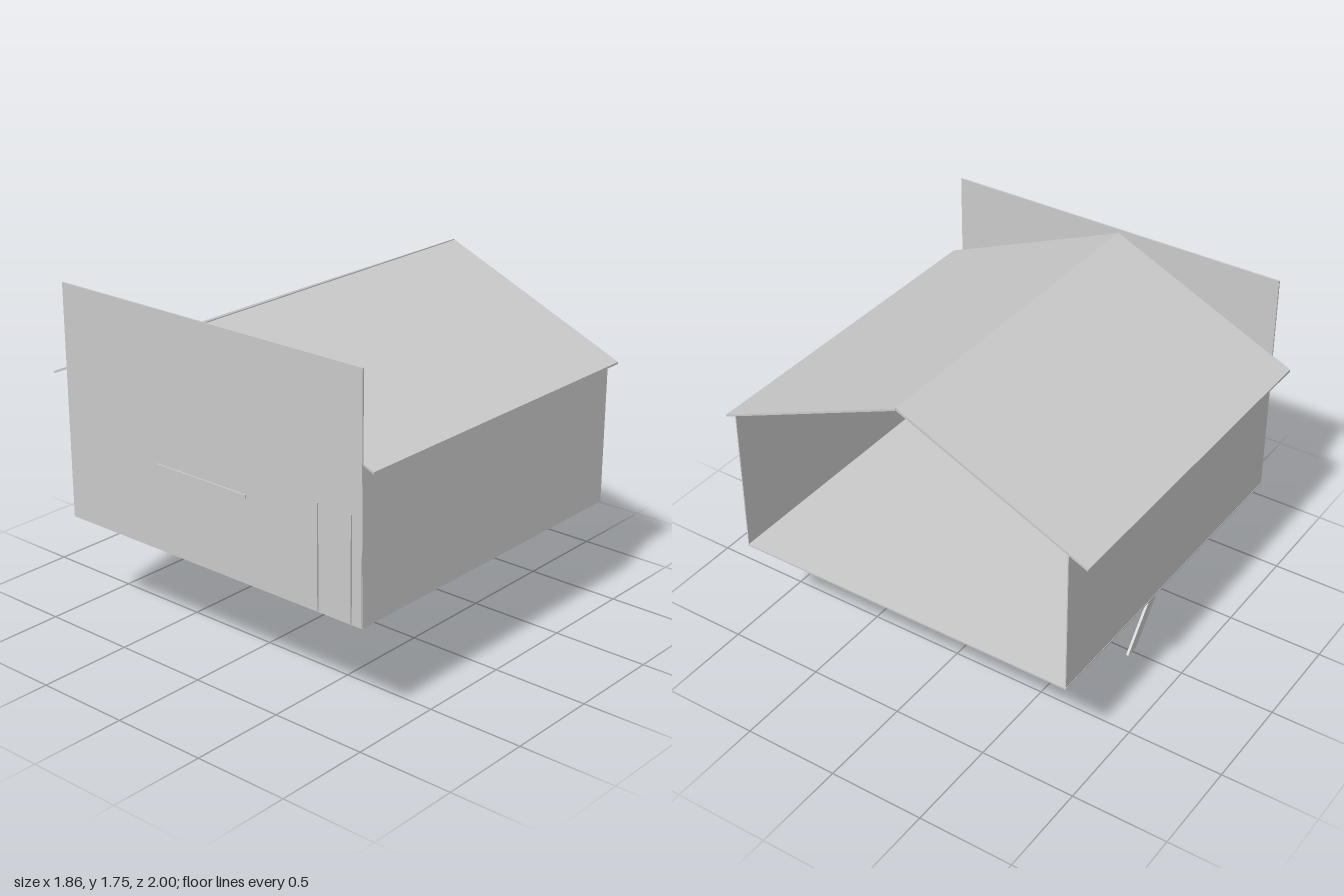
import * as THREE from 'three';

const mat = new THREE.MeshStandardMaterial({ color: 0xcccccc, side: THREE.DoubleSide });
const FLOOR = 0.56;

function add(parent, name, geo, x = 0, y = 0, z = 0) {
  const m = new THREE.Mesh(geo, mat);
  m.name = name;
  m.position.set(x, y, z);
  parent.add(m);
  return m;
}

// Box given by its minimum and maximum on each axis
function span(parent, name, x0, x1, y0, y1, z0, z1) {
  return add(parent, name, new THREE.BoxGeometry(x1 - x0, y1 - y0, z1 - z0),
    (x0 + x1) / 2, (y0 + y1) / 2, (z0 + z1) / 2);
}

// Round bar between two points
function bar(parent, name, a, b, r = 0.005) {
  const p = new THREE.Vector3(...a), q = new THREE.Vector3(...b);
  const m = add(parent, name, new THREE.CylinderGeometry(r, r, p.distanceTo(q), 8));
  m.position.copy(p).lerp(q, 0.5);
  m.quaternion.setFromUnitVectors(new THREE.Vector3(0, 1, 0), q.sub(p).normalize());
  return m;
}

// Polygon in the side plane, extruded along one axis
function polygon(points, depth) {
  const shape = new THREE.Shape(points.map(p => new THREE.Vector2(...p)));
  return new THREE.ExtrudeGeometry(shape, { depth, bevelEnabled: false });
}

function group(parent, name) {
  const g = new THREE.Group();
  g.name = name;
  parent.add(g);
  return g;
}

function buildShell(root) {
  // Floor with the ladder opening
  const s = new THREE.Shape();
  s.moveTo(-0.92, -0.94).lineTo(0.925, -0.94).lineTo(0.925, 0.905).lineTo(-0.92, 0.905).closePath();
  const hole = new THREE.Path();
  hole.moveTo(-0.46, 0.4).lineTo(-0.46, 0.75).lineTo(0.09, 0.75).lineTo(0.09, 0.4).closePath();
  s.holes.push(hole);
  const floor = new THREE.ExtrudeGeometry(s, { depth: 0.008, bevelEnabled: false }).rotateX(-Math.PI / 2);
  add(root, 'floor', floor, 0, 0.552, 0);

  span(root, 'frontWall', -0.92, 0.92, 0.556, 1.322, 0.936, 0.942);
  span(root, 'backWall', -0.92, 0.92, 0.556, 1.315, -0.903, -0.897);
  span(root, 'tallEndWall', -0.924, -0.916, 0.556, 1.75, -0.9, 0.94);

  // Roof slopes: (z, y) sections swept along x
  const slopes = {
    frontRoof: [[-0.008, 1.716], [1, 1.293], [1, 1.303], [-0.008, 1.728]],
    backRoof: [[-0.01, 1.716], [-0.01, 1.732], [-1, 1.285], [-1, 1.273]],
  };
  for (const [name, pts] of Object.entries(slopes)) {
    const geo = polygon(pts.map(([z, y]) => [-z, y]), 1.84).rotateY(Math.PI / 2);
    add(root, name, geo, -0.92, 0, 0);
  }
}

function buildLadder(root) {
  const g = group(root, 'ladder');
  const side = [[-0.035, 0], [0.04, 0], [-0.412, 0.552], [-0.488, 0.552]];
  for (const z of [-0.42, -0.717]) add(g, 'ladderSide', polygon(side, 0.013), 0, 0, z);
  for (let i = 0; i < 5; i++) {
    const y = 0.28 + i * 0.065, x = -0.82 * y;
    span(g, 'ladderTread', x - 0.035, x + 0.035, y - 0.005, y + 0.005, -0.71, -0.41);
  }
}

function buildWindow(root) {
  const g = group(root, 'window');
  for (const z0 of [-0.288, -0.008]) {
    const z1 = z0 + 0.265;
    for (const z of [z0, z1 - 0.01]) span(g, 'sashSide', -0.918, -0.895, 1.005, 1.345, z, z + 0.01);
    for (const y of [1.005, 1.335]) span(g, 'sashRail', -0.918, -0.895, y, y + 0.01, z0, z1);
    span(g, 'mullion', -0.918, -0.9, 1.01, 1.34, z0 + 0.129, z0 + 0.136);
    span(g, 'pane', -0.917, -0.91, 1.01, 1.34, z0, z1);
  }
  span(g, 'windowSill', -0.932, -0.88, 0.98, 0.997, -0.295, 0.265);
}

function buildKitchenUnit(root) {
  const g = group(root, 'kitchenUnit');
  for (const z of [0.685, 0.877]) {
    span(g, 'unitSide', -0.932, -0.75, FLOOR, 0.83, z, z + 0.008);
    span(g, 'upperPost', -0.932, -0.88, 0.83, 1.08, z, z + 0.008);
    span(g, 'railPost', -0.915, -0.88, 1.08, 1.12, z, z + 0.006);
  }
  span(g, 'worktop', -0.92, -0.745, 0.828, 0.838, 0.683, 0.887);
  span(g, 'middleShelf', -0.92, -0.85, 0.884, 0.89, 0.685, 0.885);
  span(g, 'topShelf', -0.92, -0.85, 1.065, 1.085, 0.683, 0.887);
  span(g, 'topRail', -0.89, -0.88, 1.112, 1.12, 0.685, 0.885);
  for (const z of [0.72, 0.76]) {
    for (const y of [0.793, 0.897]) {
      add(g, 'knob', new THREE.CylinderGeometry(0.01, 0.01, 0.012, 12).rotateZ(Math.PI / 2), -0.85, y, z);
    }
  }
  // Tap
  bar(g, 'tapStem', [-0.86, 0.838, 0.832], [-0.86, 0.935, 0.832], 0.004);
  add(g, 'tapHead', new THREE.SphereGeometry(0.012, 12, 8), -0.86, 0.94, 0.832);
  // Open cabinet with a ball on a stand
  const c = group(g, 'ballCabinet');
  for (const y of [0.566, 0.695]) span(c, 'cabinetPlate', -0.82, -0.7, y, y + 0.008, 0.683, 0.823);
  for (const z of [0.683, 0.816]) span(c, 'cabinetSide', -0.82, -0.7, 0.566, 0.703, z, z + 0.007);
  add(c, 'ball', new THREE.SphereGeometry(0.046, 20, 14), -0.755, 0.655, 0.757);
  add(c, 'ballStand', new THREE.CylinderGeometry(0.012, 0.035, 0.04, 16), -0.755, 0.592, 0.757);
}

function buildFurniture(root) {
  span(root, 'tallCrate', -0.9, -0.74, FLOOR, 0.83, 0.495, 0.65);
  span(root, 'lowCrate', -0.88, -0.62, FLOOR, 0.733, 0.305, 0.575);

  const tv = group(root, 'screen');
  span(tv, 'screenPanel', -0.88, -0.86, 0.605, 0.815, -0.315, 0.048);
  span(tv, 'screenFoot', -0.9, -0.84, 0.572, 0.605, -0.22, -0.04);

  const lamp = group(root, 'floorLamp');
  add(lamp, 'lampBase', new THREE.CylinderGeometry(0.03, 0.03, 0.008, 20), -0.84, 0.566, -0.392);
  bar(lamp, 'lampPole', [-0.84, FLOOR, -0.392], [-0.84, 0.98, -0.392]);
  add(lamp, 'lampShade', new THREE.CylinderGeometry(0.03, 0.048, 0.1, 10, 1, true), -0.84, 0.995, -0.392);
}

function buildBicycle(root) {
  const g = group(root, 'bicycle');
  const z = -0.81, y = 0.672, rear = [-0.45, y, z], front = [-0.77, y, z];
  for (const [x] of [rear, front]) {
    add(g, 'tyre', new THREE.TorusGeometry(0.1, 0.008, 8, 28), x, y, z);
    for (let i = 0; i < 6; i++) {
      const a = i * Math.PI / 6, c = 0.1 * Math.cos(a), s = 0.1 * Math.sin(a);
      bar(g, 'spoke', [x - c, y - s, z], [x + c, y + s, z], 0.0015);
    }
  }
  // Frame
  const crank = [-0.58, 0.66, z], seat = [-0.54, 0.83, z], head = [-0.725, 0.85, z];
  const tubes = [[rear, crank], [rear, seat], [crank, seat], [crank, head], [seat, head], [head, front]];
  for (const [a, b] of tubes) bar(g, 'frameTube', a, b);
  bar(g, 'seatPost', seat, [-0.53, 0.87, z]);
  const saddle = add(g, 'saddle', new THREE.SphereGeometry(1, 14, 8), -0.53, 0.875, z);
  saddle.scale.set(0.045, 0.012, 0.025);
  bar(g, 'stem', head, [-0.715, 0.9, z]);
  // Handlebar, swept out to both sides
  const pts = [[-0.09, 0.935], [-0.06, 0.928], [-0.03, 0.905], [0.03, 0.905], [0.06, 0.928], [0.1, 0.935]];
  const curve = new THREE.CatmullRomCurve3(pts.map(([dz, h]) => new THREE.Vector3(-0.72, h, z + dz)));
  add(g, 'handlebar', new THREE.TubeGeometry(curve, 24, 0.005, 8));
  // Cranks and pedals
  add(g, 'chainring', new THREE.TorusGeometry(0.028, 0.004, 6, 20), -0.58, 0.66, z + 0.012);
  for (const s of [-1, 1]) {
    bar(g, 'crankArm', [-0.58, 0.66, z + s * 0.02], [-0.58 + s * 0.04, 0.66 - s * 0.04, z + s * 0.025], 0.004);
    const px = -0.58 + s * 0.04, py = 0.66 - s * 0.04, pz = z + s * 0.045;
    span(g, 'pedal', px - 0.015, px + 0.015, py - 0.005, py + 0.005, pz - 0.02, pz + 0.02);
  }
}

export function createModel() {
  const root = new THREE.Group();
  root.name = 'loftRoom';
  buildShell(root);
  buildLadder(root);
  buildWindow(root);
  buildKitchenUnit(root);
  buildFurniture(root);
  buildBicycle(root);
  return root;
}
